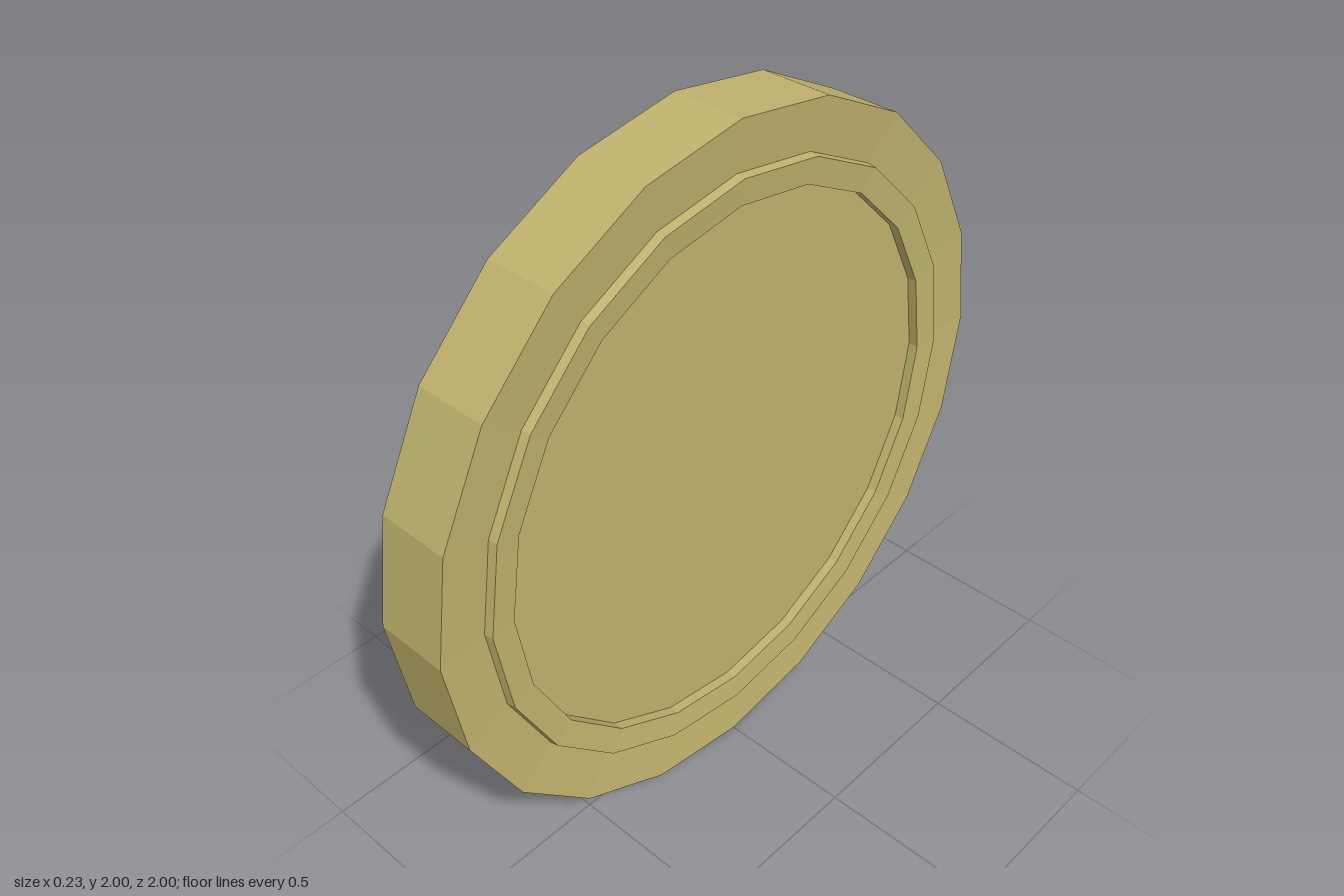
import * as THREE from 'three';

const SIDES = 20;

export function createModel() {
  const group = new THREE.Group();
  group.name = 'coin';
  const material = new THREE.MeshStandardMaterial({ color: 0xc0b26c, flatShading: true });

  // Turns a [radius, height] profile around the x axis; listed from -x to +x it faces outward
  const turned = (name, profile) => {
    const points = profile.map(([r, h]) => new THREE.Vector2(r, h));
    const geometry = new THREE.LatheGeometry(points, SIDES).rotateZ(-Math.PI / 2);
    const mesh = new THREE.Mesh(geometry, material);
    mesh.name = name;
    mesh.position.y = 1;
    group.add(mesh);
  };

  // Outer rim, its two faces dished slightly toward the middle
  turned('rim', [[0.857, -0.09], [1, -0.105], [1, 0.105], [0.857, 0.09]]);

  // Raised sloping ring and sunken flat disc on each side
  const ring = [[0.857, 0.09], [0.853, 0.115], [0.78, 0.107], [0.78, 0.078]];
  const disc = [[0.78, 0.078], [0, 0.078]];
  const mirrored = (profile) => profile.map(([r, h]) => [r, -h]).reverse();
  turned('leftRing', ring);
  turned('leftDisc', disc);
  turned('rightRing', mirrored(ring));
  turned('rightDisc', mirrored(disc));

  return group;
}
